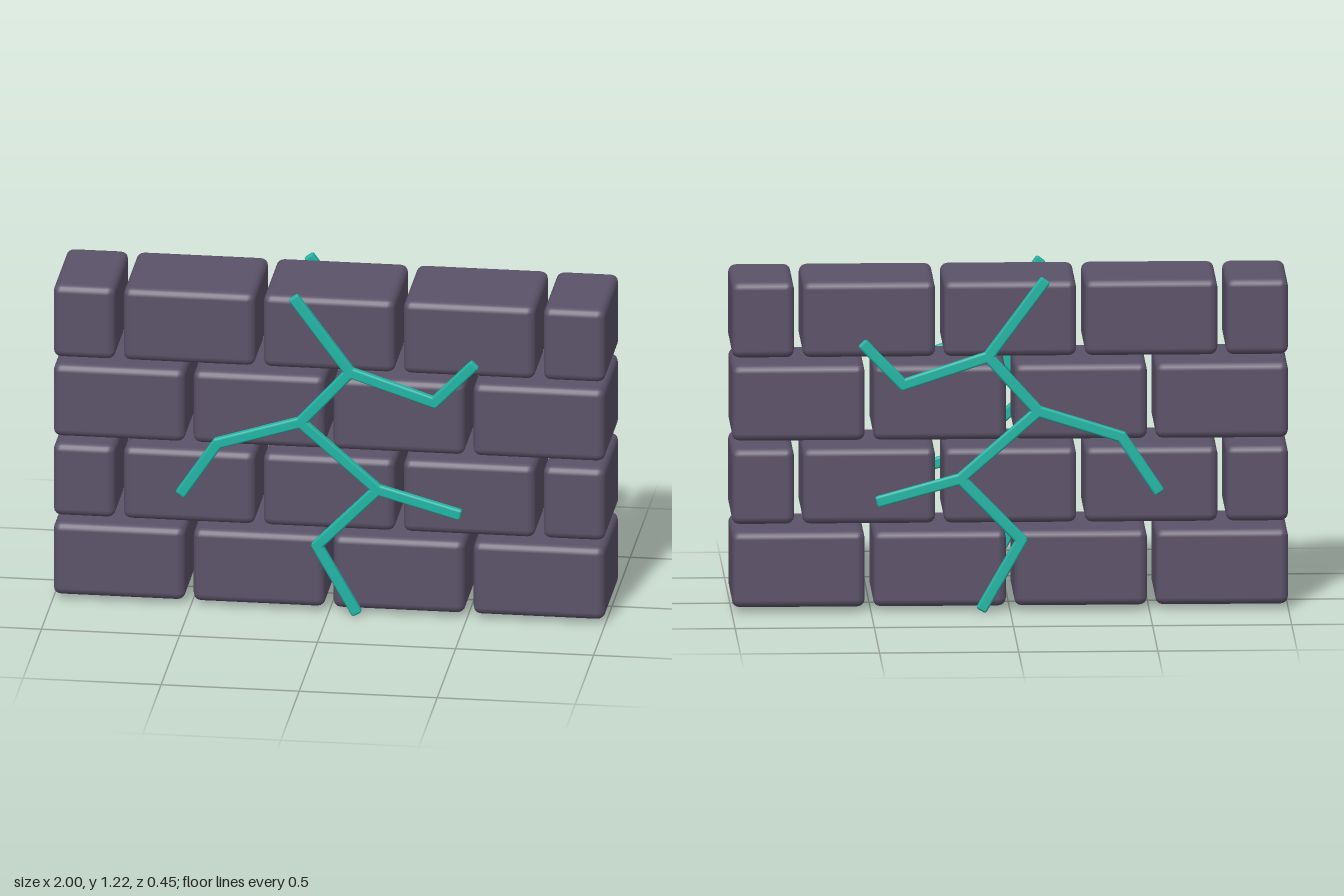
import * as THREE from 'three';
import { RoundedBoxGeometry } from 'three/addons/geometries/RoundedBoxGeometry.js';

export function createModel() {
  const model = new THREE.Group();
  model.name = 'crackedBrickWall';

  const stone = new THREE.MeshStandardMaterial({ color: 0x5b5268 });
  stone.name = 'purpleGreyStone';
  const teal = new THREE.MeshStandardMaterial({ color: 0x20b5a5 });
  teal.name = 'glowingTeal';

  // Bricks: running bond, every other row starts and ends with a half brick
  const bricks = new THREE.Group();
  bricks.name = 'bricks';
  const rowPitch = 0.304, height = 0.277, depth = 0.4;
  const gap = 0.03, fullWidth = 0.477, halfWidth = 0.224;
  const rows = [
    [fullWidth, fullWidth, fullWidth, fullWidth],
    [halfWidth, fullWidth, fullWidth, fullWidth, halfWidth],
  ];
  for (let r = 0; r < 4; r++) {
    let x = -0.999;
    for (const width of rows[r % 2]) {
      const brick = new THREE.Mesh(new RoundedBoxGeometry(width, height, depth, 2, 0.028), stone);
      brick.name = 'brick';
      brick.position.set(x + width / 2, 0.163 + r * rowPitch, 0);
      bricks.add(brick);
      x += width + gap;
    }
  }
  model.add(bricks);

  // Cracks: a zigzag trunk and three branches, the same on front and back
  const paths = [
    [[-0.12, 1.21], [0.08, 0.94], [-0.10, 0.74], [0.18, 0.495], [-0.04, 0.27], [0.10, 0.025]],
    [[0.08, 0.94], [0.385, 0.84], [0.525, 0.985]],
    [[-0.10, 0.74], [-0.40, 0.645], [-0.53, 0.45]],
    [[0.18, 0.495], [0.47, 0.415]],
  ];
  for (const side of [1, -1]) {
    const cracks = new THREE.Group();
    cracks.name = side > 0 ? 'frontCracks' : 'backCracks';
    for (const path of paths) {
      for (let i = 1; i < path.length; i++) {
        const [x0, y0] = path[i - 1], [x1, y1] = path[i];
        const length = Math.hypot(x1 - x0, y1 - y0) + 0.025;
        const strip = new THREE.Mesh(new RoundedBoxGeometry(length, 0.04, 0.03, 1, 0.008), teal);
        strip.name = 'crackSegment';
        strip.position.set((x0 + x1) / 2, (y0 + y1) / 2, side * 0.212);
        strip.rotation.z = Math.atan2(y1 - y0, x1 - x0);
        cracks.add(strip);
      }
    }
    model.add(cracks);
  }
  return model;
}
